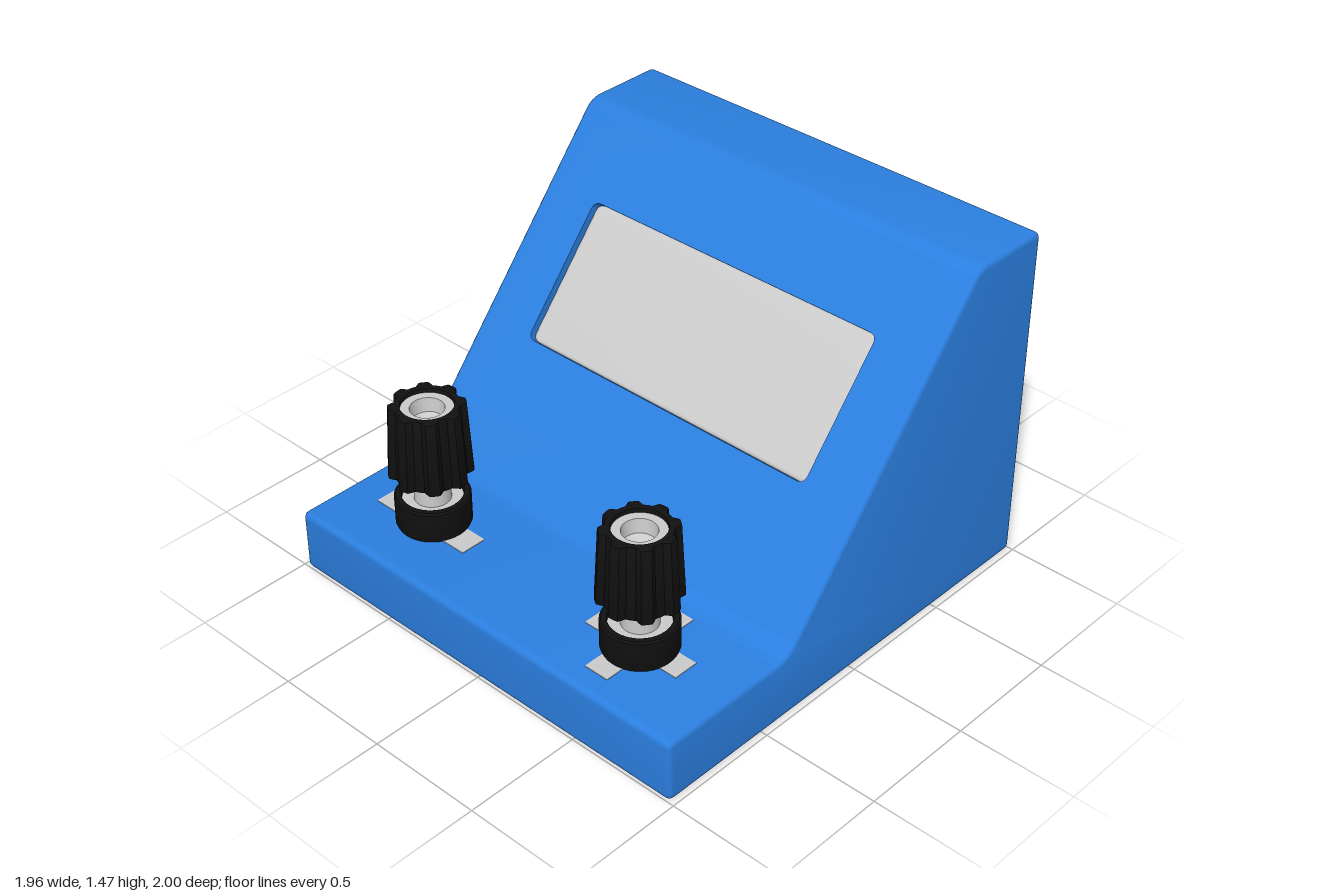
import * as THREE from 'three';
import { mergeGeometries, toCreasedNormals } from 'three/addons/utils/BufferGeometryUtils.js';

const BLUE = 0x2b7fe0, BLACK = 0x111111, GREY = 0xcccccc;

function mesh(name, geometry, color) {
  const m = new THREE.Mesh(geometry, new THREE.MeshStandardMaterial({ color }));
  m.name = name;
  return m;
}

// Smooth small bevels, keep real edges sharp (scaled up so fine detail is kept apart)
function creased(geometry, angle = 0.65) {
  geometry.scale(10, 10, 10);
  return toCreasedNormals(geometry, angle).scale(0.1, 0.1, 0.1);
}

// Closed outline from corners [x, y, rounding]
function rounded(corners, Type = THREE.Shape) {
  const path = new Type();
  corners.forEach(([x, y, t], i) => {
    const p = new THREE.Vector2(x, y);
    const toward = ([a, b]) => new THREE.Vector2(a, b).sub(p).setLength(t).add(p);
    const a = toward(corners.at(i - 1));
    const b = toward(corners[(i + 1) % corners.length]);
    if (i) path.lineTo(a.x, a.y); else path.moveTo(a.x, a.y);
    path.quadraticCurveTo(x, y, b.x, b.y);
  });
  path.closePath();
  return path;
}

const rect = (x0, x1, y0, y1, t, Type) =>
  rounded([[x0, y0, t], [x1, y0, t], [x1, y1, t], [x0, y1, t]], Type);

// Sloping face: upper and lower corner in the side profile (-z, y)
const TOP = new THREE.Vector2(0.634, 1.47), LOW = new THREE.Vector2(-0.374, 0.27);
const UP = TOP.clone().sub(LOW).normalize();
const LENGTH = TOP.distanceTo(LOW);
const MID = TOP.clone().add(LOW).multiplyScalar(0.5);
const HALF = 0.98, BEVEL = 0.02, TOP_ROUND = 0.045, LOW_ROUND = 0.065;

// Local frame on the slope: x across, y up the slope, z outward
const slopeMatrix = new THREE.Matrix4().makeBasis(
  new THREE.Vector3(1, 0, 0),
  new THREE.Vector3(0, UP.y, -UP.x),
  new THREE.Vector3(0, UP.x, UP.y)
).setPosition(0, MID.y, -MID.x);

function housingGeometry() {
  const profile = rounded([
    [-1, 0, 0.03], [1, 0, 0.03], [1, 1.47, 0.03],
    [TOP.x, TOP.y, TOP_ROUND], [LOW.x, LOW.y, LOW_ROUND], [-1, 0.27, 0.03],
  ]);
  const shell = new THREE.ExtrudeGeometry(profile, {
    depth: 2 * (HALF - BEVEL), bevelThickness: BEVEL, bevelSize: BEVEL,
    bevelOffset: -BEVEL, bevelSegments: 3, curveSegments: 6,
  });
  shell.translate(0, 0, BEVEL - HALF).rotateY(Math.PI / 2);

  // Open the flat of the slope so that the window frame can replace it
  const pos = shell.attributes.position, keep = [];
  const onSlope = (i) =>
    Math.abs((pos.getY(i) - MID.y) * UP.x + (pos.getZ(i) + MID.x) * UP.y) < 1e-4;
  for (let i = 0; i < pos.count; i += 3) {
    if (!(onSlope(i) && onSlope(i + 1) && onSlope(i + 2))) keep.push(i, i + 1, i + 2);
  }
  shell.setIndex(keep);

  // Slope face with the recess walls of the window
  const w = HALF - BEVEL;
  const face = rect(-w, w, LOW_ROUND - LENGTH / 2, LENGTH / 2 - TOP_ROUND, 0);
  face.holes.push(rect(-0.725, 0.715, -0.197, 0.409, 0.035, THREE.Path));
  const frame = new THREE.ExtrudeGeometry(face, { depth: 0.05, bevelEnabled: false, curveSegments: 6 });
  frame.translate(0, 0, -0.05).applyMatrix4(slopeMatrix);
  return creased(mergeGeometries([shell.toNonIndexed(), frame]));
}

function screenGeometry() {
  const g = new THREE.ExtrudeGeometry(rect(-0.725, 0.715, -0.197, 0.409, 0.035), {
    depth: 0.02, bevelThickness: 0.012, bevelSize: 0.014, bevelOffset: -0.014,
    bevelSegments: 3, curveSegments: 6,
  });
  return creased(g.translate(0, 0, -0.057).applyMatrix4(slopeMatrix));
}

// Tapered grip with eight ribs
function gripGeometry() {
  const pts = [];
  for (let i = 0; i < 96; i++) {
    const a = (i / 96) * Math.PI * 2;
    const lobe = THREE.MathUtils.clamp(0.5 + 1.1 * Math.cos(8 * (a - 0.13)), 0, 1);
    const r = 0.142 + 0.024 * lobe;
    pts.push(new THREE.Vector2(r * Math.cos(a), r * Math.sin(a)));
  }
  const shape = new THREE.Shape(pts);
  shape.holes.push(new THREE.Path().absarc(0, 0, 0.114, 0, Math.PI * 2, true));
  const g = new THREE.ExtrudeGeometry(shape, {
    depth: 0.304, bevelThickness: 0.008, bevelSize: 0.008, bevelOffset: -0.008,
    bevelSegments: 2, curveSegments: 24,
  });
  g.translate(0, 0, 0.008).rotateX(-Math.PI / 2);
  const p = g.attributes.position;
  for (let i = 0; i < p.count; i++) {
    const s = 1 - 0.1 * (p.getY(i) / 0.32);
    p.setX(i, p.getX(i) * s);
    p.setZ(i, p.getZ(i) * s);
  }
  return creased(g.translate(0, 0.5, 0));
}

const lathe = (points) => creased(
  new THREE.LatheGeometry(points.map(([r, y]) => new THREE.Vector2(r, y)), 40));

function terminal(name, x) {
  const g = new THREE.Group();
  g.name = name;
  g.add(
    mesh('collar', lathe([[0.14, 0.265], [0.15, 0.285], [0.15, 0.4], [0.143, 0.408], [0.122, 0.408], [0.118, 0.37]]), BLACK),
    mesh('contactPost', lathe([[0.12, 0.385], [0.073, 0.385], [0.073, 0.52]]), GREY),
    mesh('grip', gripGeometry(), BLACK),
    mesh('socket', lathe([[0, 0.508], [0.115, 0.508], [0.104, 0.8], [0.068, 0.8], [0.062, 0.74], [0, 0.715]]), GREY),
  );
  g.position.set(x, 0, 0.682);
  return g;
}

// Thin flat bar lying on the front ledge
function bar(name, x0, x1, z0, z1) {
  const m = mesh(name, new THREE.BoxGeometry(x1 - x0, 0.006, z1 - z0), GREY);
  m.position.set((x0 + x1) / 2, 0.27, (z0 + z1) / 2);
  return m;
}

export function createModel() {
  const model = new THREE.Group();
  model.name = 'panelMeter';
  model.add(
    mesh('housing', housingGeometry(), BLUE),
    mesh('screen', screenGeometry(), GREY),
    terminal('rightTerminal', -0.565),
    terminal('leftTerminal', 0.54),
    bar('negativeMark', -0.82, -0.33, 0.637, 0.752),
    bar('positiveMarkAcross', 0.3, 0.755, 0.615, 0.725),
    bar('positiveMarkFront', 0.472, 0.583, 0.725, 0.9),
    bar('positiveMarkBack', 0.472, 0.583, 0.443, 0.615),
  );
  return model;
}
